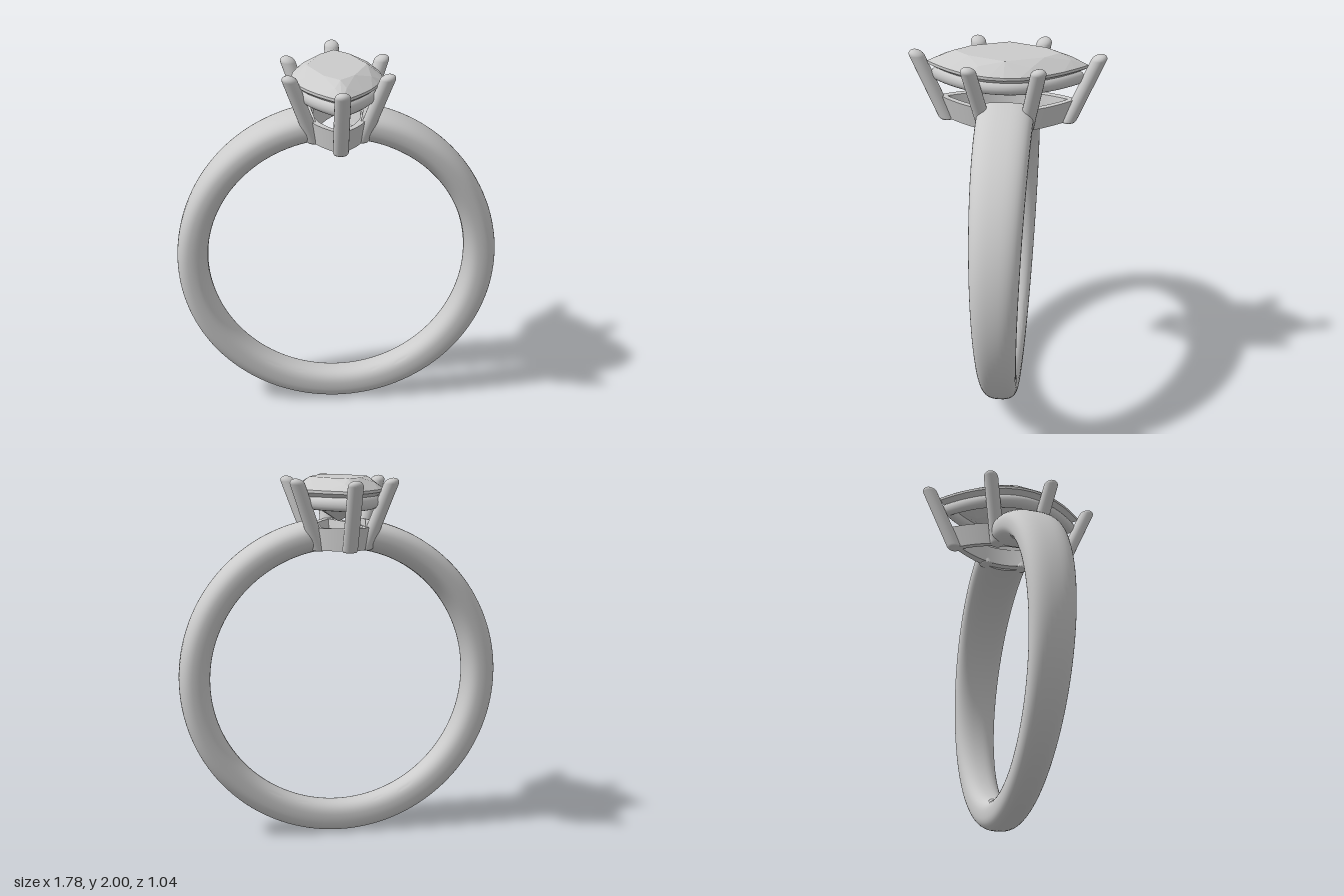
import * as THREE from 'three';
import { toCreasedNormals } from 'three/addons/utils/BufferGeometryUtils.js';
import { ConvexGeometry } from 'three/addons/geometries/ConvexGeometry.js';

const CY = 0.89; // centre height of the band
const material = new THREE.MeshStandardMaterial({ color: 0xcccccc });

// Pointed oval outline, half width a and half length l, at angle t
function marquise(a, l, t, y) {
  const c = Math.cos(t);
  return new THREE.Vector3(a * c * Math.abs(c), y, l * Math.sin(t));
}

// Surface through rows of points; columns always wrap, rows wrap if asked
function gridGeometry(rows, cols, wrapRows, point) {
  const pos = [], index = [];
  for (let i = 0; i < rows; i++)
    for (let j = 0; j < cols; j++) pos.push(...point(i, j).toArray());
  for (let i = 0; i < (wrapRows ? rows : rows - 1); i++)
    for (let j = 0; j < cols; j++) {
      const n = ((i + 1) % rows) * cols, m = i * cols, k = (j + 1) % cols;
      index.push(m + j, n + j, n + k, m + j, n + k, m + k);
    }
  const g = new THREE.BufferGeometry();
  g.setAttribute('position', new THREE.Float32BufferAttribute(pos, 3));
  g.setIndex(index);
  return toCreasedNormals(g, 0.6);
}

// Band: rounded section that widens to the top, its ends cut to fit the basket
function bandGeometry() {
  const rows = 121, cols = 40;
  const power = (v) => Math.sign(v) * Math.pow(Math.abs(v), 0.77);
  return gridGeometry(rows + 2, cols, false, (i, j) => {
    if (i === 0) return new THREE.Vector3(0.13, 1.69, 0);
    if (i === rows + 1) return new THREE.Vector3(-0.13, 1.69, 0);
    const v = (j / cols) * Math.PI * 2;
    const r = 0.805 + 0.085 * power(Math.cos(v));
    const side = -power(Math.sin(v));
    const endX = 0.14 * (1 - Math.pow((side * 0.15) / 0.36, 2));
    const start = Math.asin(endX / r);
    const a = THREE.MathUtils.lerp(start, Math.PI * 2 - start, (i - 1) / (rows - 1));
    const width = 0.12 + 0.031 * Math.cos(a);
    return new THREE.Vector3(r * Math.sin(a), CY + r * Math.cos(a), side * width);
  });
}

// Lower rail: flared wall whose bottom follows the finger hole
function lowerRailGeometry() {
  const profile = [[0.167, 0.37, true], [0.148, 0.33, false], [0.108, 0.28, false], [0.127, 0.32, true]];
  const rows = 72;
  return gridGeometry(rows, 4, true, (i, j) => {
    const [a, l, top] = profile[j];
    const p = marquise(a, l, (i / rows) * Math.PI * 2, 0);
    p.y = top ? 1.73 + 0.13 * p.z * p.z : CY + Math.sqrt(0.73 ** 2 - p.x ** 2);
    return p;
  });
}

// Upper rail: round wire under the stone
function upperRailGeometry() {
  const rows = 72, cols = 16;
  return gridGeometry(rows, cols, true, (i, j) => {
    const v = (j / cols) * Math.PI * 2;
    const out = 0.036 * Math.cos(v);
    return marquise(0.19 + out, 0.37 + out, (i / rows) * Math.PI * 2, 1.868 - 0.038 * Math.sin(v));
  });
}

// Stone: faceted marquise, hull of table, crown, girdle, pavilion and culet
function stoneGeometry() {
  const points = [new THREE.Vector3(0, 1.755, 0)];
  const ring = (n, a, l, y, shift = 0) => {
    for (let i = 0; i < n; i++) points.push(marquise(a, l, ((i + shift) / n) * Math.PI * 2, y));
  };
  ring(8, 0.16, 0.28, 2);
  ring(8, 0.2, 0.36, 1.973, 0.5);
  ring(32, 0.24, 0.425, 1.937);
  ring(32, 0.24, 0.425, 1.922);
  ring(8, 0.125, 0.22, 1.825, 0.5);
  return new ConvexGeometry(points);
}

// Prong: round-tipped rod with a level foot, leaning from foot to tip
function prong(foot, tip) {
  const r = 0.041, h = tip.y - foot.y;
  const profile = [new THREE.Vector2(0, 0), new THREE.Vector2(r * 0.85, 0), new THREE.Vector2(r, 0.01)];
  for (let i = 0; i <= 8; i++) {
    const a = (i / 8) * Math.PI / 2;
    profile.push(new THREE.Vector2(r * Math.cos(a), h + 0.032 * Math.sin(a)));
  }
  const g = new THREE.LatheGeometry(profile, 20);
  const lean = new THREE.Matrix4().set(
    1, (tip.x - foot.x) / h, 0, foot.x,
    0, 1, 0, foot.y,
    0, (tip.z - foot.z) / h, 1, foot.z,
    0, 0, 0, 1);
  return g.applyMatrix4(lean);
}

export function createModel() {
  const model = new THREE.Group();
  const add = (name, geometry, parent = model) => {
    const mesh = new THREE.Mesh(geometry, material);
    mesh.name = name;
    parent.add(mesh);
  };

  add('band', bandGeometry());

  const setting = new THREE.Group();
  setting.name = 'setting';
  model.add(setting);
  add('lowerRail', lowerRailGeometry(), setting);
  add('upperRail', upperRailGeometry(), setting);
  add('stone', stoneGeometry(), setting);

  // One prong at each point of the stone, two along each side
  for (const z of [1, -1]) {
    add(z > 0 ? 'frontProng' : 'backProng',
      prong(new THREE.Vector3(0, 1.617, z * 0.325), new THREE.Vector3(0, 1.965, z * 0.478)), setting);
    for (const x of [1, -1])
      add((z > 0 ? 'front' : 'back') + (x > 0 ? 'Left' : 'Right') + 'Prong',
        prong(new THREE.Vector3(x * 0.125, 1.607, z * 0.105), new THREE.Vector3(x * 0.252, 1.965, z * 0.178)), setting);
  }
  return model;
}
